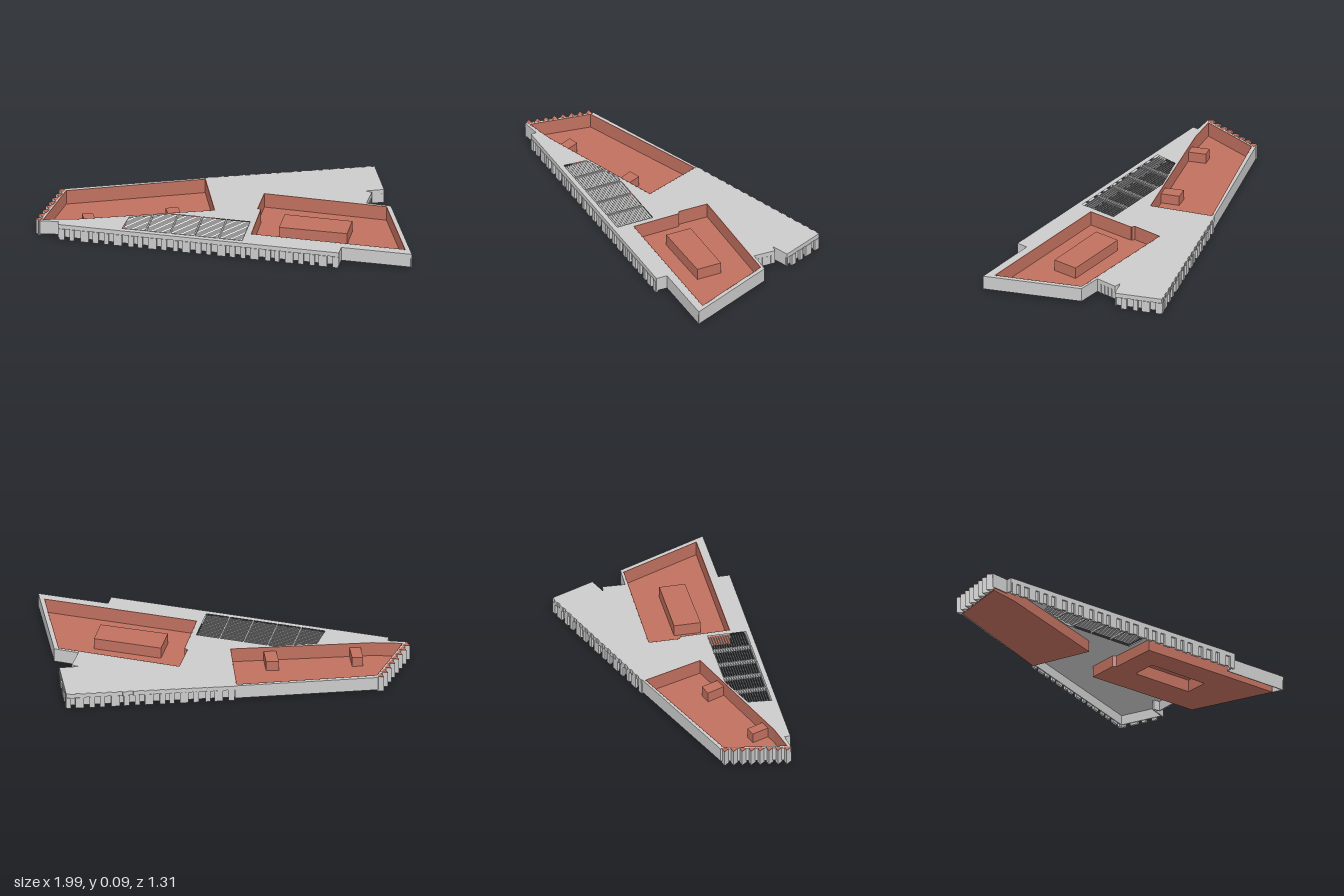
import * as THREE from 'three';

const grey = new THREE.MeshStandardMaterial({ color: 0xcccccc, flatShading: true });
const red = new THREE.MeshStandardMaterial({ color: 0xc0705f, flatShading: true });
const TOP = 0.09, BAND = 0.065;

// Plan outlines as [x, z], clockwise seen from above
const outline = [
  [0.4, -0.665], [0.555, -0.46], [0.47, -0.4], [0.51, -0.405], [0.535, -0.286], [0.665, -0.315],
  [0.995, 0.11], [0.625, 0.205], [0.64, 0.265], [-0.835, 0.635], [-0.845, 0.605], [-0.945, 0.645],
  [-0.97, 0.27], [-0.345, -0.165],
];
const rightCourt = [[0, -0.145], [0.65, -0.3], [0.945, 0.08], [0.13, 0.285], [0.06, 0.025], [0.04, 0.02]];
const leftCourt = [[-0.958, 0.285], [-0.345, -0.152], [-0.15, 0.135], [-0.78, 0.55], [-0.93, 0.625]];
const skylight = [[0.07, 0.165], [0.121, 0.368], [-0.51, 0.526], [-0.53, 0.4], [-0.345, 0.27]];
const courtBlock = [[0.185, -0.015], [0.54, -0.105], [0.575, 0.03], [0.22, 0.125]];
const sideBlocks = [
  [[-0.42, 0.185], [-0.36, 0.15], [-0.3, 0.232], [-0.355, 0.268]],
  [[-0.79, 0.435], [-0.74, 0.405], [-0.68, 0.483], [-0.73, 0.515]],
];

function add(parent, name, geometry, material) {
  const mesh = new THREE.Mesh(geometry, material);
  mesh.name = name;
  parent.add(mesh);
  return mesh;
}

// Flat slab from a plan outline, with optional holes
function slab(points, y0, y1, holes = []) {
  const toPoints = (list) => list.map(([x, z]) => new THREE.Vector2(x, -z));
  const shape = new THREE.Shape(toPoints(points));
  holes.forEach((h) => shape.holes.push(new THREE.Path(toPoints(h))));
  const geometry = new THREE.ExtrudeGeometry(shape, { depth: y1 - y0, bevelEnabled: false });
  return geometry.rotateX(-Math.PI / 2).translate(0, y0, 0);
}

// Upright box along a plan edge, its outer face moved inward by inset
function wall(a, b, y0, y1, thick, inset = 0) {
  const dx = b[0] - a[0], dz = b[1] - a[1], len = Math.hypot(dx, dz);
  const off = (inset + thick / 2) / len;
  return new THREE.BoxGeometry(len, y1 - y0, thick)
    .rotateY(Math.atan2(-dz, dx))
    .translate((a[0] + b[0]) / 2 - dz * off, (y0 + y1) / 2, (a[1] + b[1]) / 2 + dx * off);
}

function along(a, b, t) {
  return [a[0] + (b[0] - a[0]) * t, a[1] + (b[1] - a[1]) * t];
}

// Row of piers of alternating width standing in front of a recessed wall
function pierRow(parent, a, b) {
  const len = Math.hypot(b[0] - a[0], b[1] - a[1]);
  const gaps = [0.03, 0.022, 0.034, 0.026];
  const widths = [0.03, 0.045, 0.026];
  let pos = 0.004;
  for (let i = 0; pos < len - 0.02; i++) {
    const end = Math.min(pos + widths[i % 3], len - 0.002);
    add(parent, 'pier', wall(along(a, b, pos / len), along(a, b, end / len), 0, BAND, 0.014, -0.003), grey);
    pos = end + gaps[i % 4];
  }
}

function court(name, points, floorHoles) {
  const group = new THREE.Group();
  group.name = name;
  add(group, 'courtFloor', slab(points, 0.003, 0.009, floorHoles), red);
  points.forEach((p, i) => {
    add(group, 'courtWall', wall(p, points[(i + 1) % points.length], 0.004, TOP + 0.0005, 0.004), red);
  });
  return group;
}

// Tilted slats in five bays, cut short where the left court begins
function louvres() {
  const group = new THREE.Group();
  group.name = 'skylightLouvres';
  group.position.set(0.07, 0, 0.165);
  group.rotation.y = 0.2465;
  const bays = 5, rows = 16, depth = 0.209, pitch = 0.131;
  for (let r = 0; r < rows; r++) {
    const t = ((r + 0.5) * depth) / rows;
    const limit = Math.min(0.645, 0.43 + 2.9 * t);
    for (let i = 0; i < bays; i++) {
      const s0 = i * pitch + 0.002, s1 = Math.min(s0 + 0.123, limit);
      if (s1 - s0 < 0.01) continue;
      const slat = add(group, 'slat', new THREE.BoxGeometry(s1 - s0, 0.002, 0.019), grey);
      slat.position.set(-(s0 + s1) / 2, 0.08, t);
      slat.rotation.x = 1.05;
    }
  }
  for (let i = 1; i < bays; i++) {
    const s = i * pitch - 0.003, start = Math.max(0, (s - 0.43) / 2.9);
    const bar = add(group, 'skylightBar', new THREE.BoxGeometry(0.007, TOP - BAND, depth - start), grey);
    bar.position.set(-s, (TOP + BAND) / 2, (depth + start) / 2);
  }
  return group;
}

export function createModel() {
  const model = new THREE.Group();
  model.name = 'building';

  // Roof with two open courts and a skylight
  add(model, 'roof', slab(outline, BAND, TOP, [rightCourt, leftCourt, skylight]), grey);

  // Outer walls, set back behind piers on the long facades
  const facade = new THREE.Group();
  facade.name = 'facade';
  model.add(facade);
  const pierEdges = [0, 8, 13];
  outline.forEach((a, i) => {
    const b = outline[(i + 1) % outline.length];
    const hasPiers = pierEdges.includes(i);
    add(facade, 'outerWall', wall(a, b, 0.012, BAND, 0.006, hasPiers ? 0.01 : 0), grey);
    if (hasPiers) pierRow(facade, a, b);
  });

  // Small stepped blocks along the roof edge of the back facade
  const backStart = outline[13], backEnd = outline[0];
  for (let i = 0; i < 16; i++) {
    const a = along(backStart, backEnd, (i + 0.1) / 16), b = along(backStart, backEnd, (i + 0.65) / 16);
    add(facade, 'edgeStep', wall(a, b, BAND, TOP, 0.008, -0.005), grey);
  }

  // Window bars by the recessed corner
  for (let i = 1; i < 5; i++) {
    const a = along(outline[3], outline[4], i / 5 - 0.02), b = along(outline[3], outline[4], i / 5 + 0.02);
    add(facade, 'windowBar', wall(a, b, 0.01, BAND, 0.006, -0.003), grey);
  }

  // Sunken courts and the blocks standing in them
  const east = court('rightCourt', rightCourt, [courtBlock]);
  courtBlock.forEach((p, i) => {
    add(east, 'blockWall', wall(p, courtBlock[(i + 1) % 4], 0.003, 0.07, 0.004), red);
  });
  add(east, 'blockTop', slab(courtBlock, 0.069, 0.073), red);
  const west = court('leftCourt', leftCourt);
  sideBlocks.forEach((p) => add(west, 'sideBlock', slab(p, 0.005, 0.065), red));
  model.add(east, west);

  // Sawtooth fins on the narrow end
  const fins = new THREE.Group();
  fins.name = 'sawtoothFins';
  for (let i = 0; i < 8; i++) {
    const x = -0.962 + i * 0.0035, z = 0.275 + i * 0.047;
    const tooth = [[x, z], [x, z + 0.04], [x - 0.034, z + 0.016]];
    add(fins, 'fin', slab(tooth, 0, TOP - 0.003), grey);
    add(fins, 'finCap', slab(tooth, TOP - 0.003, TOP + 0.001), red);
  }
  model.add(fins, louvres());
  return model;
}
